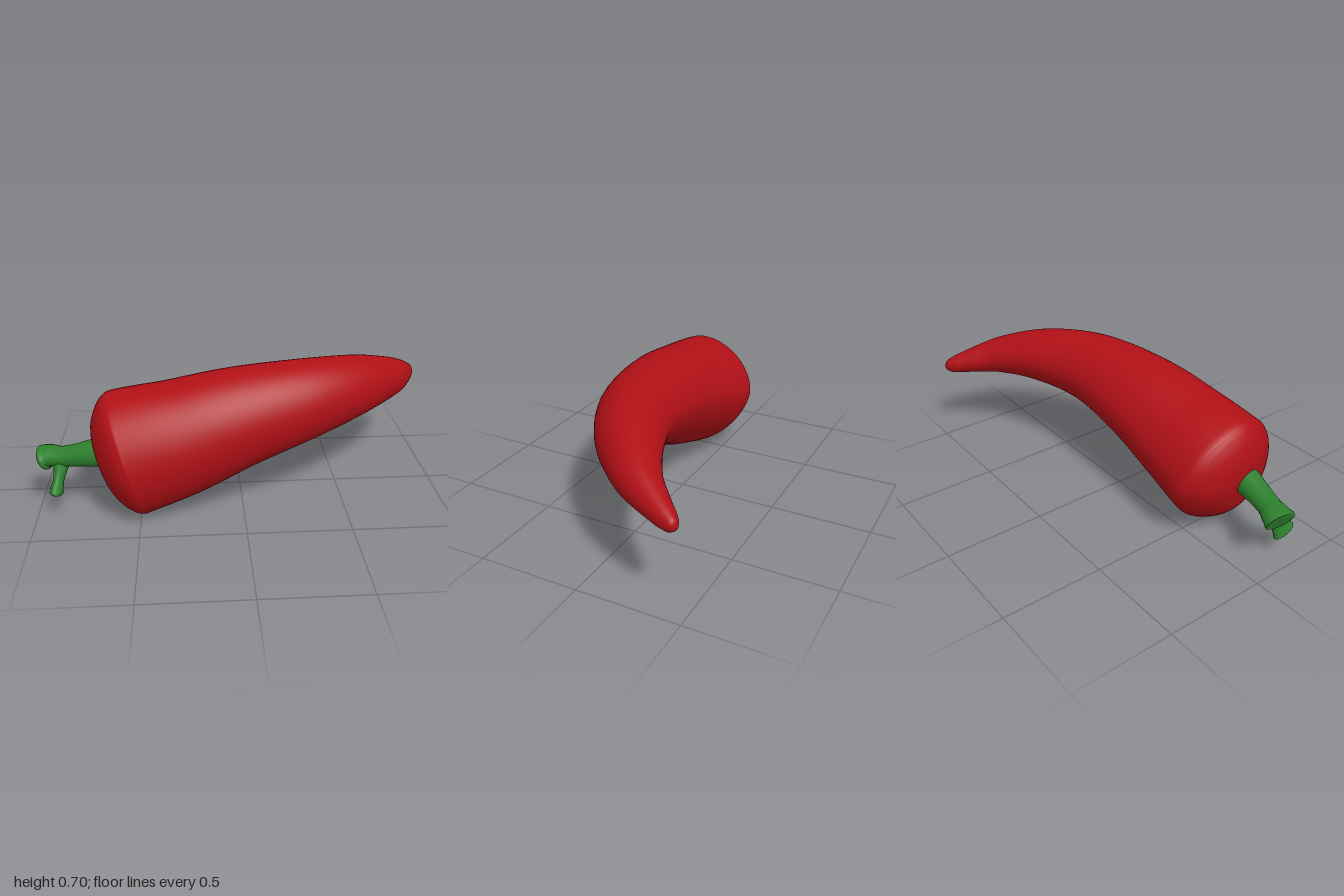
import * as THREE from 'three';

// Sweep a section along a path. Rows are [x, y, z, radius along ref, radius across].
// egg (0 to 1) narrows the far side into a raised ridge, fading out along the path.
function sweep(rows, ref, steps, sides, egg = 0) {
  const path = new THREE.CatmullRomCurve3(rows.map(([x, y, z]) => new THREE.Vector3(x, y, z)));
  const size = new THREE.SplineCurve(rows.map(([, , , r, w = r]) => new THREE.Vector2(r, w)));
  const soft = (v, power) => Math.sign(v) * Math.abs(v) ** power;
  const pos = [], index = [];
  for (let i = 0; i <= steps; i++) {
    const u = i / steps, c = path.getPoint(u), t = path.getTangent(u), s = size.getPoint(u);
    const n = ref.clone().addScaledVector(t, -ref.dot(t)).normalize();
    const b = t.clone().cross(n);
    const fade = egg * (1 - u), shift = 0.14 * fade;
    for (let j = 0; j < sides; j++) {
      const a = (j / sides) * Math.PI * 2;
      const power = Math.sin(a) < 0 ? 1 + 0.24 * fade : 1;
      const ch = soft(Math.cos(a), power), sw = soft(Math.sin(a), power);
      const h = Math.max(s.x, 0.0005) * (ch - 0.14 * fade * sw);
      const w = Math.max(s.y, 0.0005) * (sw + shift * (1 - Math.abs(sw)));
      const p = c.clone().addScaledVector(n, h).addScaledVector(b, w);
      pos.push(p.x, p.y, p.z);
      if (i < steps) {
        const k = i * sides + j, l = i * sides + (j + 1) % sides;
        index.push(k, l, k + sides, l, l + sides, k + sides);
      }
    }
  }
  const geo = new THREE.BufferGeometry();
  geo.setAttribute('position', new THREE.Float32BufferAttribute(pos, 3));
  geo.setIndex(index);
  geo.computeVertexNormals();
  return geo;
}

export function createModel() {
  const group = new THREE.Group();
  const red = new THREE.MeshStandardMaterial({ color: 0xb01016 });
  const green = new THREE.MeshStandardMaterial({ color: 0x2c802e });
  const up = new THREE.Vector3(0, 1, 0), side = new THREE.Vector3(1, 0, 0);
  const add = (name, geo, mat) => {
    const mesh = new THREE.Mesh(geo, mat);
    mesh.name = name;
    group.add(mesh);
  };

  // Rounded shoulder: [distance along the tilted axis, radius]
  const shoulder = [[-0.12, 0], [-0.113, 0.11], [-0.092, 0.185], [-0.06, 0.24], [-0.03, 0.275], [0, 0.298], [0.04, 0.307]]
    .map(([s, r]) => [-0.585 + s * 0.96, 0.293 + s * 0.28, 0.176 - s * 0.06, r, r * 0.97]);

  // Pod: bends backward and tapers to a blunt tip
  add('pepperBody', sweep([
    ...shoulder,
    [-0.32, 0.364, 0.17, 0.284, 0.276],
    [-0.04, 0.447, 0.145, 0.246, 0.244],
    [0.32, 0.512, 0.08, 0.196, 0.194],
    [0.6, 0.525, -0.052, 0.149, 0.15],
    [0.8, 0.5, -0.207, 0.102, 0.102],
    [0.893, 0.47, -0.33, 0.07, 0.068],
    [0.945, 0.449, -0.412, 0.049, 0.046],
    [0.966, 0.441, -0.448, 0.035, 0.031],
    [0.973, 0.438, -0.462, 0.02, 0.018],
    [0.977, 0.437, -0.47, 0],
  ], up, 128, 48, 1), red);

  // Stem with a flared, slanted cut end
  add('stem', sweep([
    [-0.6, 0.325, 0.21, 0.074, 0.068],
    [-0.7, 0.306, 0.205, 0.07, 0.066],
    [-0.8, 0.287, 0.19, 0.056, 0.058],
    [-0.88, 0.274, 0.173, 0.049, 0.057],
    [-0.94, 0.27, 0.152, 0.052, 0.07],
    [-0.968, 0.258, 0.148, 0.058, 0.073],
    [-0.97, 0.257, 0.1475, 0, 0],
  ], up, 42, 20), green);

  // Small side spur hanging from the stem, widening to its end
  add('stemSpur', sweep([
    [-0.875, 0.275, 0.175, 0.048, 0.045],
    [-0.883, 0.22, 0.2, 0.034, 0.042],
    [-0.893, 0.175, 0.225, 0.026, 0.042],
    [-0.903, 0.13, 0.25, 0.031, 0.055],
    [-0.906, 0.114, 0.257, 0.028, 0.057],
    [-0.907, 0.11, 0.258, 0, 0],
  ], side, 30, 16), green);

  return group;
}
